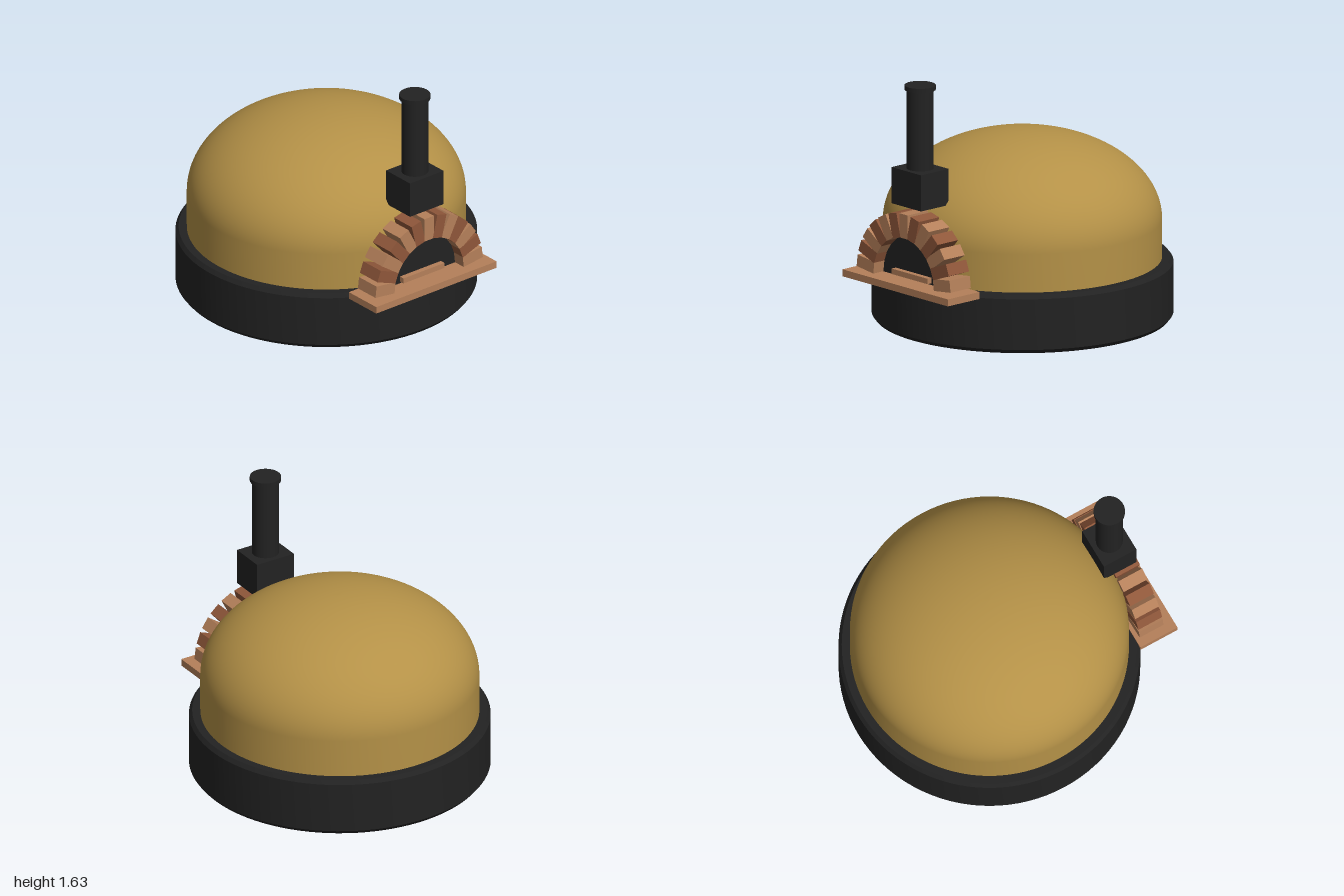
import * as THREE from 'three';
import { toCreasedNormals } from 'three/addons/utils/BufferGeometryUtils.js';

const paint = (name, color) => {
  const m = new THREE.MeshStandardMaterial({ color });
  m.name = name;
  return m;
};

export function createModel() {
  const oven = new THREE.Group();
  oven.name = 'pizzaOven';
  const black = paint('black metal', 0x222222);
  const ochre = paint('ochre clay', 0xb49147);
  const lightBrick = paint('light brick', 0xb5805a);
  const darkBrick = paint('dark brick', 0x8f573a);

  const add = (name, geometry, material, x, y, z, parent = oven) => {
    const mesh = new THREE.Mesh(geometry, material);
    mesh.name = name;
    mesh.position.set(x, y, z);
    parent.add(mesh);
    return mesh;
  };
  const box = (name, material, w, y0, y1, z0, z1) =>
    add(name, new THREE.BoxGeometry(w, y1 - y0, z1 - z0), material, 0, (y0 + y1) / 2, (z0 + z1) / 2);
  const lathe = (pairs, segments) =>
    new THREE.LatheGeometry(pairs.map(([r, y]) => new THREE.Vector2(r, y)), segments);

  // Round base with chamfered rims
  const centreZ = -0.065;
  const baseProfile = [[0, 0], [0.915, 0], [0.935, 0.025], [0.935, 0.35], [0.915, 0.375], [0, 0.375]];
  add('base', toCreasedNormals(lathe(baseProfile, 96), 0.4), black, 0, 0, centreZ);

  // Dome: short upright wall, then a quarter ellipse
  const domeProfile = [[0.865, 0.37]];
  for (let i = 0; i <= 28; i++) {
    const a = (i / 28) * Math.PI / 2;
    domeProfile.push([i === 28 ? 0 : 0.865 * Math.cos(a), 0.62 + 0.56 * Math.sin(a)]);
  }
  add('dome', lathe(domeProfile, 96), ochre, 0, 0, centreZ);

  // Hearth slab, door and handle
  box('hearthSlab', lightBrick, 0.97, 0.343, 0.388, 0.735, 1.0);
  const doorShape = new THREE.Shape();
  doorShape.absarc(0, 0, 0.285, 0, Math.PI);
  doorShape.closePath();
  const door = new THREE.ExtrudeGeometry(doorShape, { depth: 0.1, bevelEnabled: false, curveSegments: 32 });
  add('door', door, black, 0, 0.388, 0.745);
  box('doorHandle', lightBrick, 0.33, 0.4, 0.435, 0.84, 0.88);

  // Arch of alternating bricks
  const arch = new THREE.Group();
  arch.name = 'brickArch';
  arch.position.set(0, 0.393, 0.845);
  oven.add(arch);
  const count = 13;
  const brick = new THREE.BoxGeometry(0.155, 0.076, 0.17);
  for (let i = 0; i < count; i++) {
    const a = ((i + 0.5) / count) * Math.PI;
    const mesh = add('archBrick', brick, i % 2 ? darkBrick : lightBrick,
      0.354 * Math.cos(a), 0.354 * Math.sin(a), 0, arch);
    mesh.rotation.z = a;
  }

  // Chimney box, flue and rim
  box('chimneyBox', black, 0.27, 0.865, 1.097, 0.675, 0.907);
  add('flue', new THREE.CylinderGeometry(0.084, 0.084, 0.53, 48), black, 0, 1.355, 0.791);
  add('flueRim', new THREE.CylinderGeometry(0.097, 0.097, 0.028, 48), black, 0, 1.616, 0.791);

  return oven;
}
